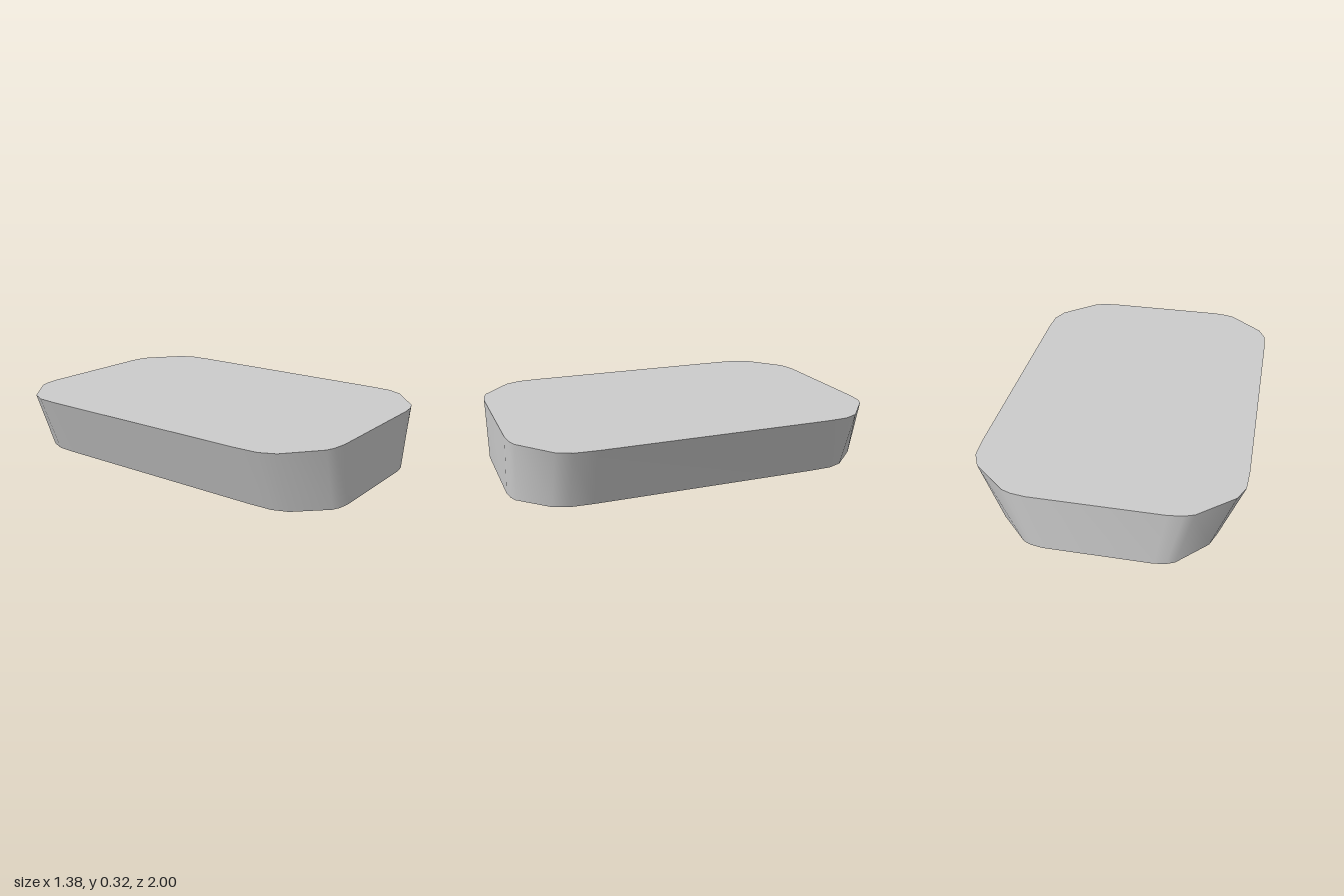
import * as THREE from 'three';
import { toCreasedNormals } from 'three/addons/utils/BufferGeometryUtils.js';

const HEIGHT = 0.325;
const BASE_RATIO = 0.82; // width of the base relative to the rim

// One rounded, chamfered corner of the rim, from the long side to the end
const CORNER = [
  [0.69, 0.62], [0.683, 0.74], [0.645, 0.82],
  [0.465, 0.972], [0.415, 0.99], [0.34, 1],
];

// Mirror the corner into a closed counter-clockwise outline
function outline() {
  const points = [];
  for (const [sx, sy] of [[1, 1], [-1, 1], [-1, -1], [1, -1]]) {
    const corner = CORNER.map(([x, y]) => new THREE.Vector2(x * sx, y * sy));
    points.push(...(sx * sy > 0 ? corner : corner.reverse()));
  }
  return new THREE.Shape(points);
}

export function createModel() {
  const group = new THREE.Group();
  group.name = 'taperedBlock';

  const geometry = new THREE.ExtrudeGeometry(outline(), { depth: HEIGHT, bevelEnabled: false });
  geometry.rotateX(-Math.PI / 2);

  // Flare the long sides outward; the ends stay vertical
  const pos = geometry.attributes.position;
  for (let i = 0; i < pos.count; i++) {
    const t = pos.getY(i) / HEIGHT;
    pos.setX(i, pos.getX(i) * THREE.MathUtils.lerp(BASE_RATIO, 1, t));
  }

  // Smooth corners, sharp rim and base edges
  const body = new THREE.Mesh(
    toCreasedNormals(geometry, THREE.MathUtils.degToRad(35)),
    new THREE.MeshStandardMaterial({ color: 0xcccccc }),
  );
  body.name = 'body';
  group.add(body);
  return group;
}
